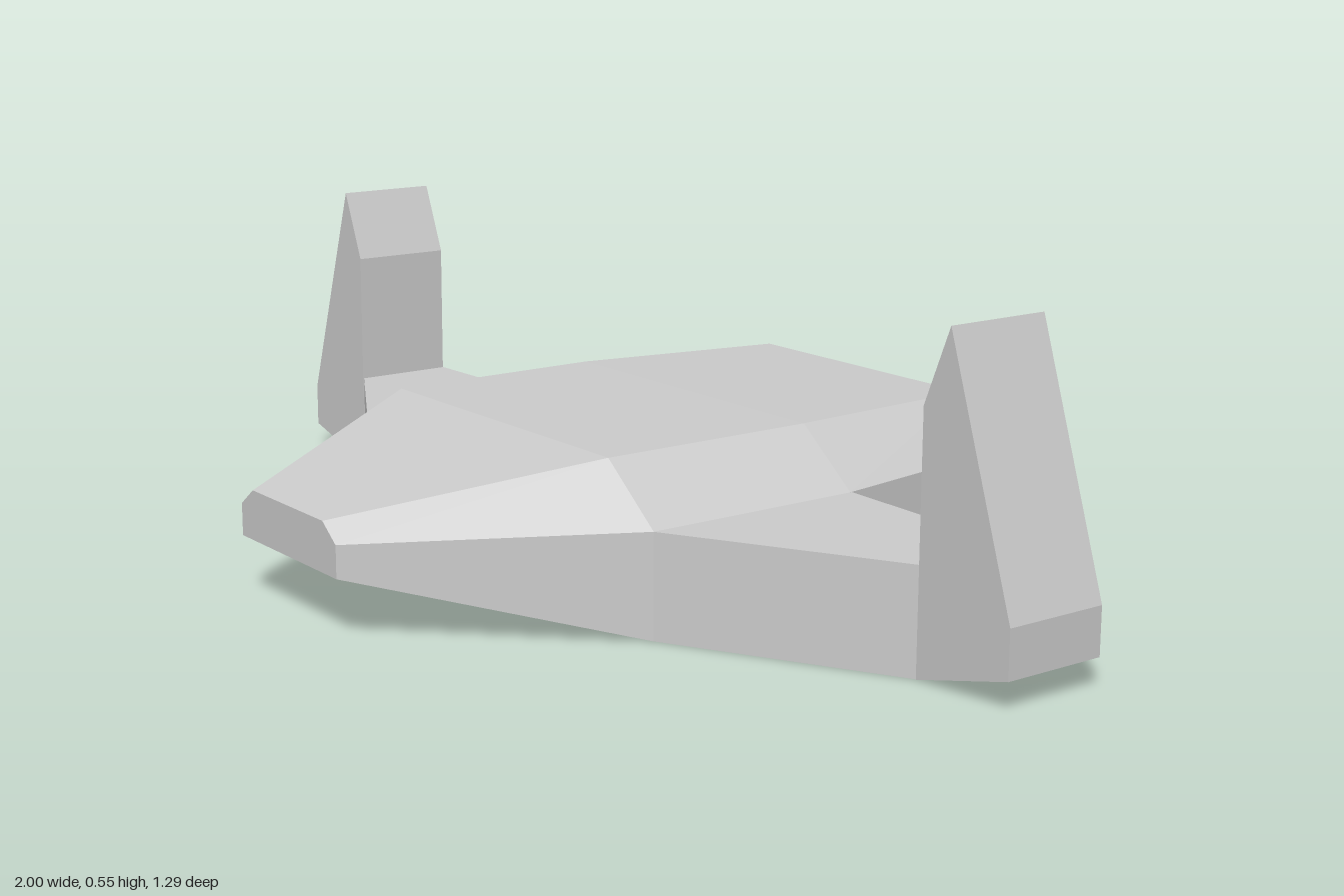
import * as THREE from 'three';

const material = new THREE.MeshStandardMaterial({ color: 0xcccccc, flatShading: true });

function addMesh(parent, name, geometry) {
  const mesh = new THREE.Mesh(geometry, material);
  mesh.name = name;
  parent.add(mesh);
  return mesh;
}

// Skin closed rings (counter-clockwise seen from the front), listed front to back
function loft(rings) {
  const n = rings[0].length, index = [], last = (rings.length - 1) * n;
  for (let r = 0; r < rings.length - 1; r++) {
    for (let i = 0; i < n; i++) {
      const j = (i + 1) % n, a = r * n, b = a + n;
      index.push(a + i, b + i, b + j, a + i, b + j, a + j);
    }
  }
  for (let i = 1; i < n - 1; i++) {
    index.push(0, i, i + 1, last, last + i + 1, last + i);
  }
  const indexed = new THREE.BufferGeometry();
  indexed.setAttribute('position', new THREE.Float32BufferAttribute(rings.flat(2), 3));
  indexed.setIndex(index);
  const geometry = indexed.toNonIndexed();
  geometry.computeVertexNormals();
  return geometry;
}

// Extrude an outline, flipped in x for the right-hand side
function prism(points, side, depth) {
  const shape = new THREE.Shape(points.map(([x, y]) => new THREE.Vector2(side * x, y)));
  return new THREE.ExtrudeGeometry(shape, { depth, bevelEnabled: false });
}

export function createModel() {
  const model = new THREE.Group();
  model.name = 'craft';

  // Hull sections: z, bottom y, shoulder y, top y, half width, top half width
  const sections = [
    [0.645, 0.105, 0.16, 0.19, 0.155, 0.115],
    [0.24, 0, 0.178, 0.272, 0.435, 0.315],
    [-0.165, 0, 0.178, 0.272, 0.435, 0.315],
    [-0.575, 0.01, 0.178, 0.265, 0.37, 0.27],
  ];
  addMesh(model, 'hull', loft(sections.map(([z, bottom, shoulder, top, w, t]) => [
    [-w, bottom, z], [w, bottom, z], [w, shoulder, z],
    [t, top, z], [-t, top, z], [-w, shoulder, z],
  ])));

  for (const side of [1, -1]) {
    const label = side > 0 ? 'left' : 'right';

    // Tapered wing, outlined in plan (x, -z)
    const wing = prism([[0.435, -0.24], [0.81, -0.03], [0.81, 0.157], [0.435, 0.168]], side, 0.178);
    wing.rotateX(-Math.PI / 2);
    addMesh(model, label + 'Wing', wing);

    // Upright pointed fin at the wing tip
    const fin = prism([[0.81, 0], [1, 0.05], [1, 0.13], [0.862, 0.546], [0.81, 0.42]], side, 0.188);
    fin.translate(0, 0, -0.156);
    addMesh(model, label + 'Fin', fin);
  }

  // Eight-sided tail nozzle with a chamfered end
  const nozzleRings = [[-0.57, 0.097], [-0.633, 0.097], [-0.648, 0.078]].map(([z, r]) =>
    Array.from({ length: 8 }, (_, i) => {
      const a = (i * Math.PI) / 4;
      return [r * Math.cos(a), 0.13 + r * Math.sin(a), z];
    }));
  addMesh(model, 'tailNozzle', loft(nozzleRings));

  return model;
}
